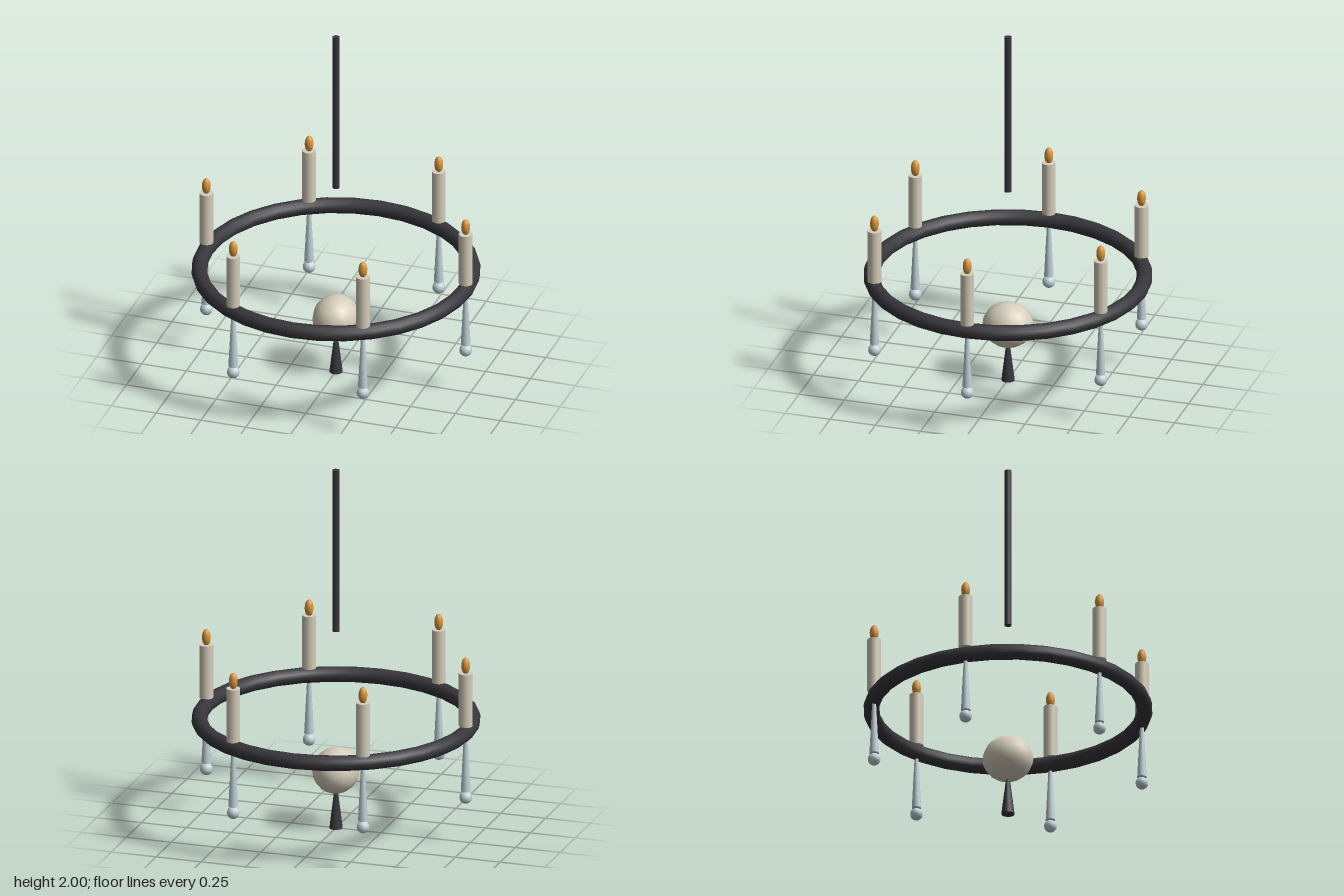
import * as THREE from 'three';

const mat = (color) => new THREE.MeshStandardMaterial({ color });

export function createModel() {
  const group = new THREE.Group();
  const iron = mat(0x37363b), wax = mat(0xd6cebb), flameMat = mat(0xd9973f), glass = mat(0xc0d2d8);

  const add = (parent, name, geometry, material, x, y, z) => {
    const mesh = new THREE.Mesh(geometry, material);
    mesh.name = name;
    mesh.position.set(x, y, z);
    parent.add(mesh);
    return mesh;
  };

  // Hanging rod
  add(group, 'hangingRod', new THREE.CylinderGeometry(0.02, 0.02, 0.9, 12), iron, 0, 1.55, 0);

  // Main ring
  const R = 0.723;
  add(group, 'ring', new THREE.TorusGeometry(R, 0.042, 12, 32).rotateX(Math.PI / 2), iron, 0, 0.61, 0);

  // Central globe, slightly deeper than wide, with a flared finial below
  const globe = new THREE.SphereGeometry(0.124, 14, 12).scale(1, 1, 1.1);
  add(group, 'globe', globe, wax, 0, 0.322, 0);
  add(group, 'finial', new THREE.ConeGeometry(0.036, 0.29, 12), iron, 0, 0.145, 0);

  // Six candles above the ring, each with a pendant below
  const candle = new THREE.CylinderGeometry(0.037, 0.037, 0.295, 14);
  const flame = new THREE.SphereGeometry(0.024, 12, 10).scale(1, 1.9, 1);
  const drop = new THREE.CylinderGeometry(0.011, 0.026, 0.29, 10);
  const bead = new THREE.SphereGeometry(0.034, 12, 10);
  for (let i = 0; i < 6; i++) {
    const a = (i * Math.PI) / 3;
    const arm = new THREE.Group();
    arm.name = 'candleUnit' + (i + 1);
    arm.position.set(R * Math.cos(a), 0, R * Math.sin(a));
    add(arm, 'candle', candle, wax, 0, 0.797, 0);
    add(arm, 'flame', flame, flameMat, 0, 0.985, 0);
    add(arm, 'pendantDrop', drop, glass, 0, 0.43, 0);
    add(arm, 'pendantBead', bead, glass, 0, 0.25, 0);
    group.add(arm);
  }
  return group;
}
